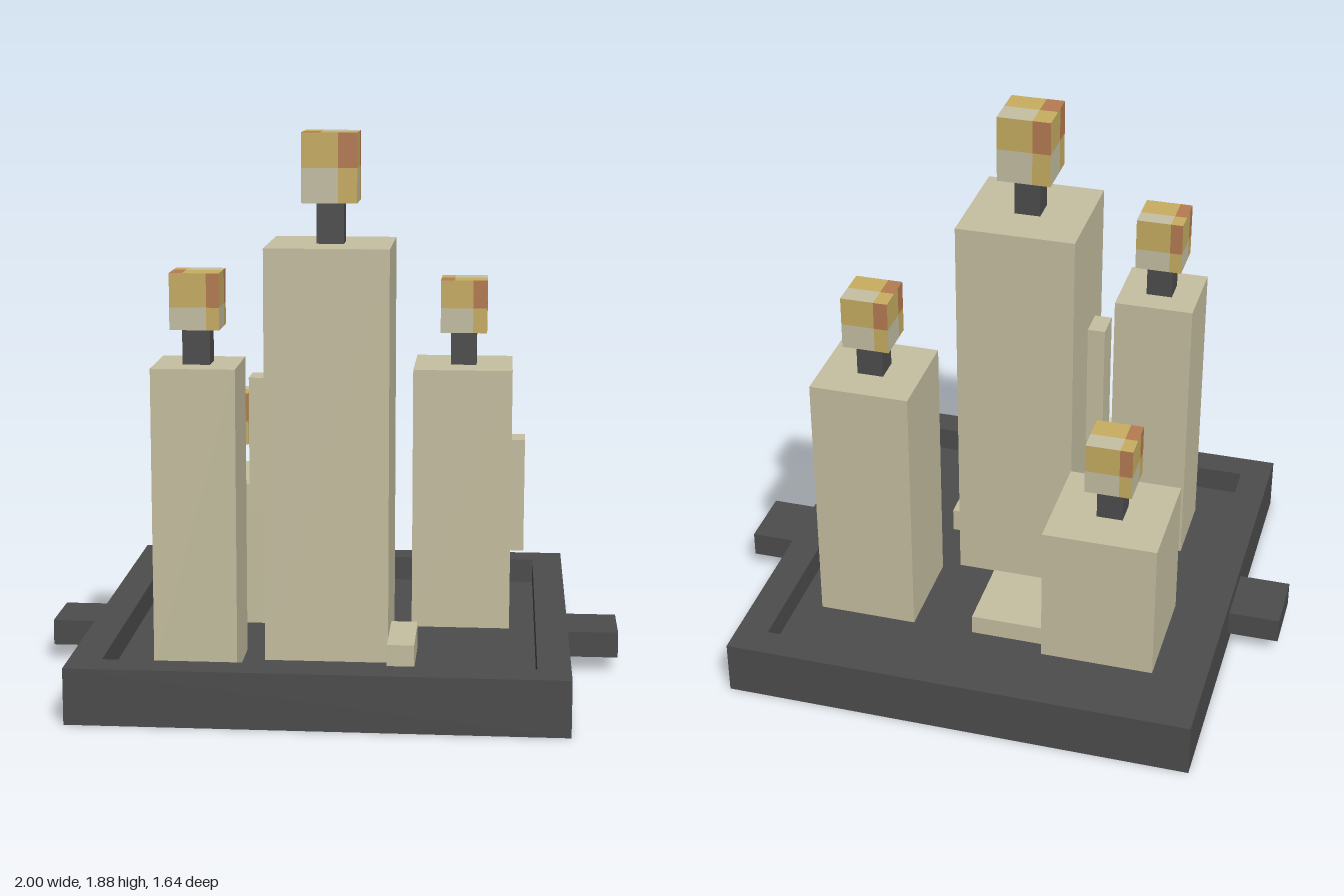
import * as THREE from 'three';
import { mergeGeometries } from 'three/addons/utils/BufferGeometryUtils.js';

const material = (name, color) => {
  const m = new THREE.MeshStandardMaterial({ color });
  m.name = name;
  return m;
};

const FLOOR = 0.1;

export function createModel() {
  const wax = material('wax', 0xc6c0a1);
  const iron = material('dark iron', 0x4d4d4d);
  const gold = material('flame gold', 0xc9ae62);
  const orange = material('flame orange', 0xb67c52);
  const pale = material('flame pale', 0xc5c0a4);

  const model = new THREE.Group();
  model.name = 'candleTray';

  // Box given by its extents on each axis
  function box(name, mat, [x0, x1], [y0, y1], [z0, z1], parent = model) {
    const mesh = new THREE.Mesh(new THREE.BoxGeometry(x1 - x0, y1 - y0, z1 - z0), mat);
    mesh.position.set((x0 + x1) / 2, (y0 + y1) / 2, (z0 + z1) / 2);
    mesh.name = name;
    parent.add(mesh);
    return mesh;
  }

  const square = (path, r) =>
    path.moveTo(-r, -r).lineTo(r, -r).lineTo(r, r).lineTo(-r, r).closePath();

  // Tray: raised square rim around a sunken floor
  const rimShape = new THREE.Shape();
  square(rimShape, 0.82);
  const hole = new THREE.Path();
  square(hole, 0.71);
  rimShape.holes.push(hole);
  const rimGeometry = new THREE.ExtrudeGeometry(rimShape, { depth: 0.19, bevelEnabled: false });
  rimGeometry.rotateX(-Math.PI / 2);
  const rim = new THREE.Mesh(rimGeometry, iron);
  rim.name = 'trayRim';
  model.add(rim);
  box('trayFloor', iron, [-0.71, 0.71], [0, FLOOR], [-0.71, 0.71]);

  // Handles
  box('leftHandle', iron, [0.82, 1], [0.055, 0.145], [-0.115, 0.115]);
  box('rightHandle', iron, [-1, -0.82], [0.055, 0.145], [-0.115, 0.115]);

  // Flame block: each face is split into four flat colour patches
  function makeFlame(w, h, splitX, splitY) {
    const flame = new THREE.Group();
    flame.name = 'flame';
    const patches = [
      { mat: gold, u: [0, splitX], v: [splitY, 1] },
      { mat: orange, u: [splitX, 1], v: [splitY, 1] },
      { mat: pale, u: [0, splitX], v: [0, splitY] },
      { mat: gold, u: [splitX, 1], v: [0, splitY] },
    ];
    const q = Math.PI / 2;
    const sides = [
      [0, 0], [0, q], [0, 2 * q], [0, 3 * q],
      [-q, 2 * q], [q, 0],
    ];
    const byColour = new Map();
    for (const [rx, ry] of sides) {
      for (const { mat, u, v } of patches) {
        const g = new THREE.PlaneGeometry(u[1] - u[0], v[1] - v[0]);
        g.translate((u[0] + u[1] - 1) / 2, (v[0] + v[1] - 1) / 2, 0.5);
        g.rotateX(rx).rotateY(ry).scale(w, h, w);
        if (!byColour.has(mat)) byColour.set(mat, []);
        byColour.get(mat).push(g);
      }
    }
    for (const [mat, parts] of byColour) {
      const mesh = new THREE.Mesh(mergeGeometries(parts), mat);
      mesh.name = mat.name + ' patches';
      flame.add(mesh);
    }
    return flame;
  }

  // Candles: wax block, wick and flame
  const candles = [
    { name: 'tallCandle', x: 0, z: 0.175, w: 0.42, top: 1.51, wick: 0.14, fw: 0.188, fh: 0.235, split: [0.66, 0.5] },
    { name: 'frontRightCandle', x: -0.425, z: 0.41, w: 0.28, top: 1.13, wick: 0.12, fw: 0.165, fh: 0.188, split: [0.74, 0.4] },
    { name: 'leftCandle', x: 0.445, z: -0.237, w: 0.35, top: 1.037, wick: 0.12, fw: 0.165, fh: 0.188, split: [0.7, 0.47] },
    { name: 'shortCandle', x: -0.415, z: -0.263, w: 0.4, top: 0.615, wick: 0.12, fw: 0.165, fh: 0.188, split: [0.73, 0.45] },
  ];
  for (const c of candles) {
    const candle = new THREE.Group();
    candle.name = c.name;
    candle.position.set(c.x, 0, c.z);
    const r = c.w / 2;
    box('waxBlock', wax, [-r, r], [FLOOR, c.top], [-r, r], candle);
    box('wick', iron, [-0.046, 0.046], [c.top, c.top + c.wick], [-0.046, 0.046], candle);
    const flame = makeFlame(c.fw, c.fh, ...c.split);
    flame.position.y = c.top + c.wick + c.fh / 2;
    candle.add(flame);
    model.add(candle);
  }

  // Wax drips on the candle sides
  box('tallCandleDrip', wax, [-0.272, -0.21], [0.595, 1.06], [0.178, 0.285]);
  box('leftCandleDrip', wax, [0.62, 0.668], [0.36, 0.768], [-0.29, -0.178]);

  // Wax pools on the tray floor
  box('frontWaxPool', wax, [0.21, 0.302], [FLOOR, 0.187], [0.178, 0.465]);
  box('backWaxPool', wax, [-0.215, 0.053], [FLOOR, 0.17], [-0.41, -0.123]);

  return model;
}
